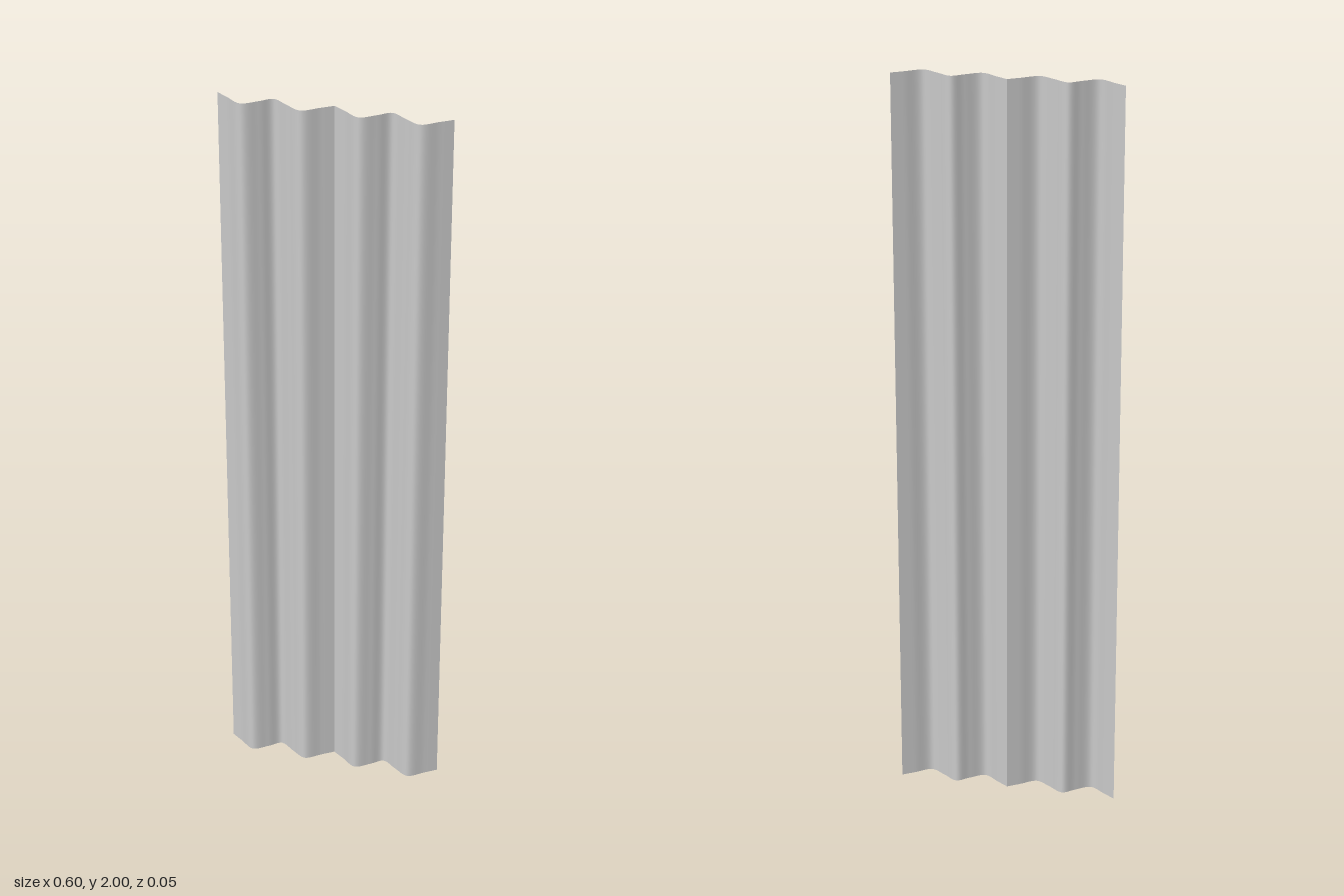
import * as THREE from 'three';

const HEIGHT = 2, PANEL_WIDTH = 0.3, SEGMENTS = 48;

// Fold cross-section of one panel: distance across, depth
const folds = new THREE.SplineCurve([
  [0, -0.025], [0.032, -0.003], [0.073, 0.0245], [0.113, 0], [0.146, -0.0235],
  [0.186, 0.002], [0.227, 0.0245], [0.268, -0.003], [0.3, -0.025],
].map(([x, z]) => new THREE.Vector2(x, z)));

// Flat sheet whose columns follow the fold curve
function pleatedPanel() {
  const geometry = new THREE.PlaneGeometry(PANEL_WIDTH, HEIGHT, SEGMENTS, 1);
  const position = geometry.attributes.position;
  for (let i = 0; i < position.count; i++) {
    const column = i % (SEGMENTS + 1);
    const p = folds.getPoint(column / SEGMENTS);
    position.setXYZ(i, p.x, position.getY(i) + HEIGHT / 2, p.y);
  }
  geometry.computeVertexNormals();
  return geometry;
}

export function createModel() {
  const curtain = new THREE.Group();
  curtain.name = 'curtain';
  const cloth = new THREE.MeshStandardMaterial({ color: 0xcccccc, side: THREE.DoubleSide });
  const geometry = pleatedPanel();

  // Two equal panels meeting at the centre seam
  for (const [name, x] of [['rightPanel', -PANEL_WIDTH], ['leftPanel', 0]]) {
    const panel = new THREE.Mesh(geometry, cloth);
    panel.name = name;
    panel.position.x = x;
    curtain.add(panel);
  }
  return curtain;
}
